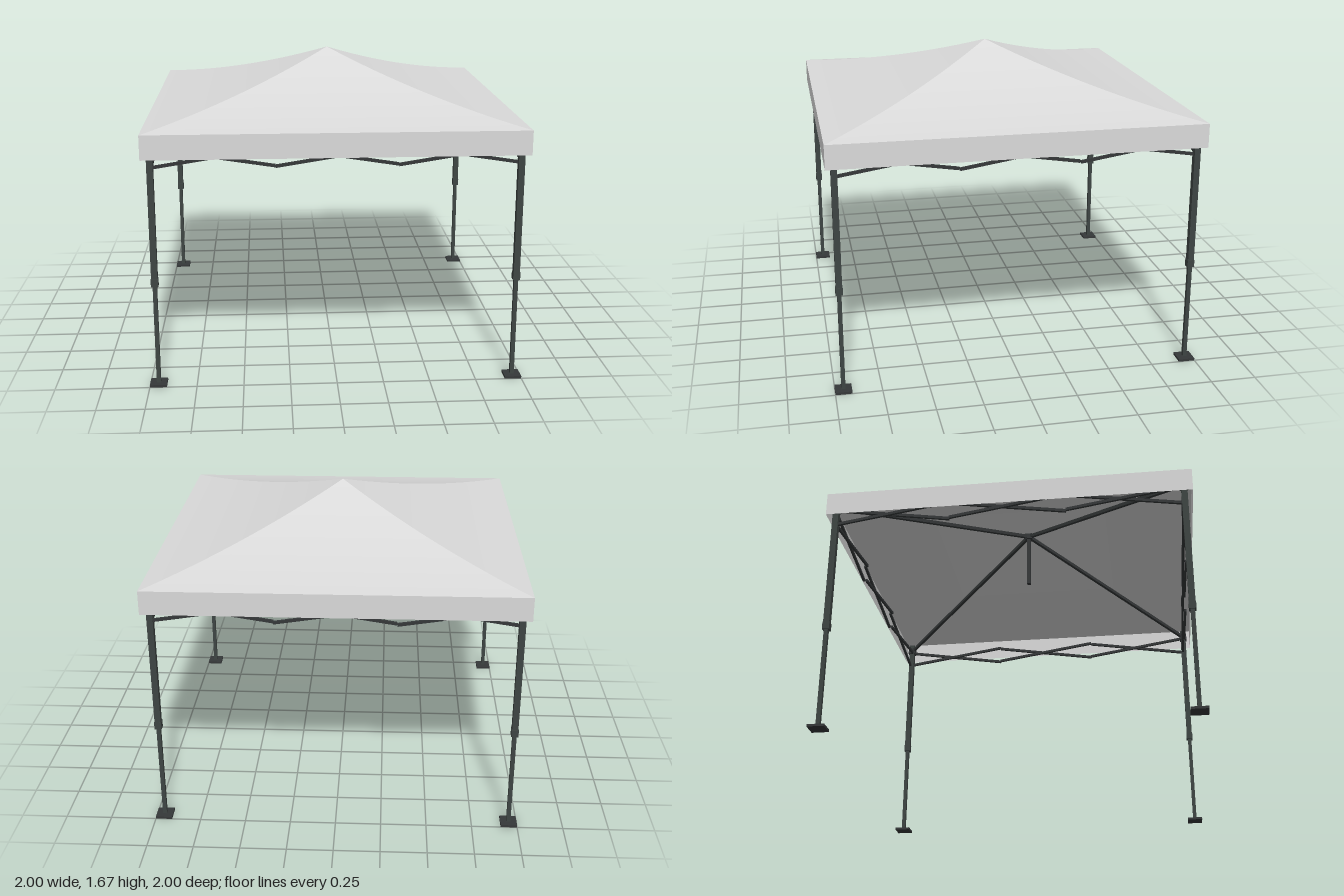
import * as THREE from 'three';

const mat = (name, color, side = THREE.FrontSide) => {
  const m = new THREE.MeshStandardMaterial({ color, side });
  m.name = name;
  return m;
};

const EAVE = 1.375, HEM = 1.245, LEG = 0.955;
const UP = new THREE.Vector3(0, 1, 0);
const roofHeight = (r) => EAVE + 0.16 * (1 - r) + 0.135 * (1 - r) ** 2;

export function createModel() {
  const fabric = mat('canopyFabric', 0xdadada, THREE.DoubleSide);
  const steel = mat('legSteel', 0x3e4543);
  const dark = mat('darkFrame', 0x353839);
  const model = new THREE.Group();
  model.name = 'popUpCanopy';

  const add = (parent, name, geometry, material, x = 0, y = 0, z = 0) => {
    const mesh = new THREE.Mesh(geometry, material);
    mesh.name = name;
    mesh.position.set(x, y, z);
    parent.add(mesh);
    return mesh;
  };

  // Square bar running between two points of its parent
  const bar = (parent, name, a, b, w, h) => {
    const from = new THREE.Vector3(...a), to = new THREE.Vector3(...b);
    const mesh = add(parent, name, new THREE.BoxGeometry(w, h, from.distanceTo(to)), dark);
    mesh.position.copy(from).add(to).multiplyScalar(0.5);
    mesh.quaternion.setFromRotationMatrix(new THREE.Matrix4().lookAt(to, from, UP));
  };

  // One concave roof panel, narrowing to the peak
  const panel = new THREE.PlaneGeometry(1, 1, 16, 24);
  const p = panel.attributes.position;
  for (let i = 0; i < p.count; i++) {
    const r = 0.5 - p.getY(i);
    p.setXYZ(i, 2 * p.getX(i) * r, roofHeight(r), r);
  }
  panel.computeVertexNormals();
  const valance = new THREE.PlaneGeometry(2, EAVE - HEM);

  // Four identical sides: roof panel, valance and scissor truss
  for (let s = 0; s < 4; s++) {
    const side = new THREE.Group();
    side.name = 'canopySide';
    side.rotation.y = (s * Math.PI) / 2;
    model.add(side);
    add(side, 'roofPanel', panel, fabric);
    add(side, 'valance', valance, fabric, 0, (EAVE + HEM) / 2, 1);

    const step = (2 * LEG) / 3;
    for (let i = 0; i < 3; i++) {
      const x0 = -LEG + i * step, x1 = x0 + step;
      bar(side, 'scissorBar', [x0, 1.197, LEG + 0.007], [x1, 1.297, LEG + 0.007], 0.013, 0.016);
      bar(side, 'scissorBar', [x0, 1.297, LEG - 0.007], [x1, 1.197, LEG - 0.007], 0.013, 0.016);
    }
  }

  // Four corner legs with foot, telescoping tube, collar and rafter
  for (const sx of [-1, 1]) {
    for (const sz of [-1, 1]) {
      const leg = new THREE.Group();
      leg.name = 'leg';
      leg.position.set(sx * LEG, 0, sz * LEG);
      model.add(leg);
      add(leg, 'footPlate', new THREE.BoxGeometry(0.09, 0.013, 0.09), dark, 0, 0.0065, 0);
      add(leg, 'lowerTube', new THREE.BoxGeometry(0.022, 0.56, 0.022), steel, 0, 0.29, 0);
      add(leg, 'collar', new THREE.BoxGeometry(0.038, 0.042, 0.038), steel, 0, 0.578, 0);
      add(leg, 'upperTube', new THREE.BoxGeometry(0.033, 0.77, 0.033), steel, 0, 0.965, 0);
      add(leg, 'topBracket', new THREE.BoxGeometry(0.045, 0.04, 0.045), dark, 0, 1.305, 0);
      bar(model, 'rafter', [sx * LEG, 1.31, sz * LEG], [0, 1.62, 0], 0.018, 0.02);
    }
  }

  // Centre pole and hub holding up the peak
  add(model, 'centrePole', new THREE.BoxGeometry(0.022, 0.35, 0.022), dark, 0, 1.455, 0);
  add(model, 'peakHub', new THREE.BoxGeometry(0.045, 0.035, 0.045), dark, 0, 1.615, 0);

  return model;
}
